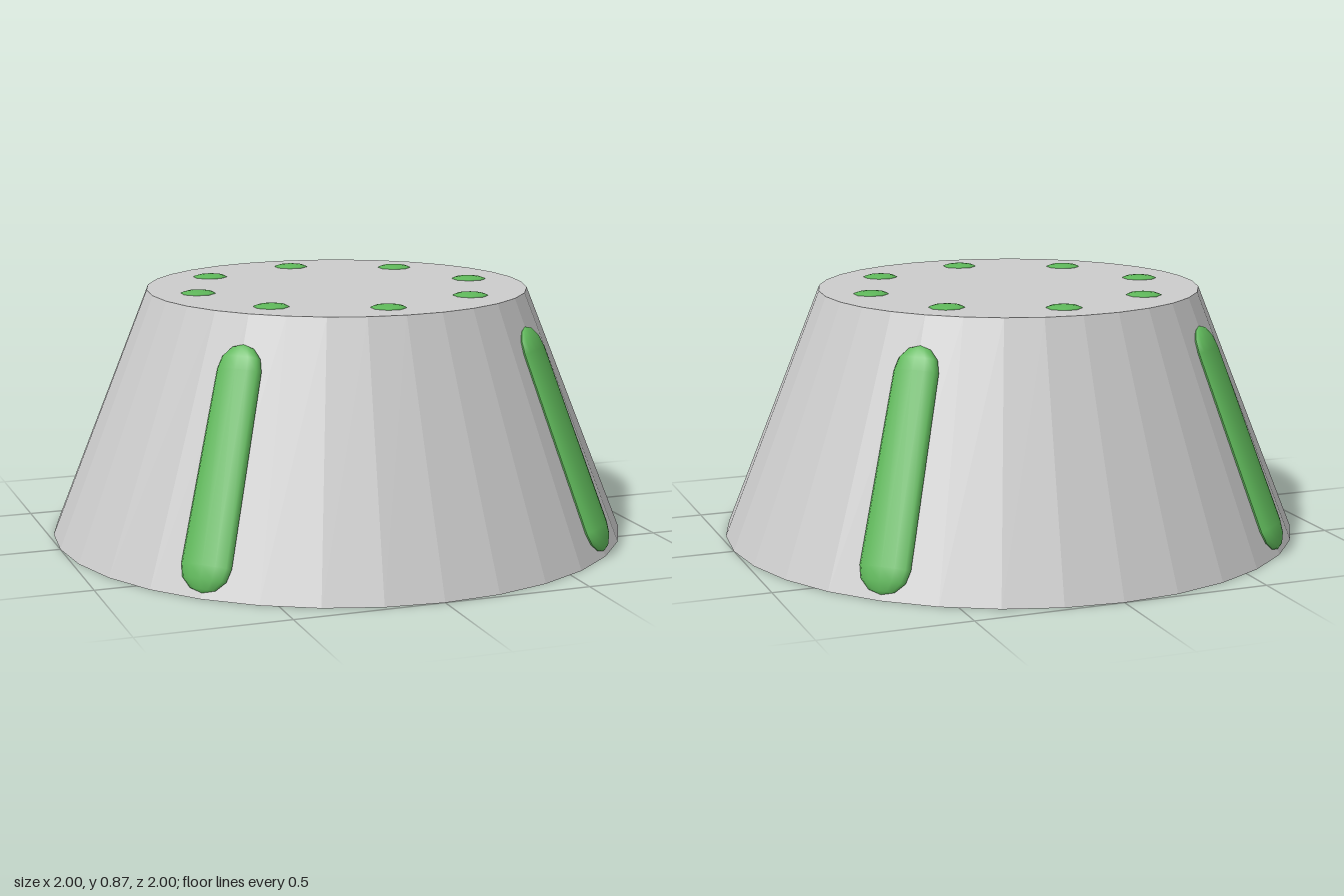
import * as THREE from 'three';

const HEIGHT = 0.855, BASE_R = 1, TOP_R = 0.66;
const SLOPE = Math.atan((BASE_R - TOP_R) / HEIGHT);

export function createModel() {
  const model = new THREE.Group();
  const grey = new THREE.MeshStandardMaterial({ color: 0xcccccc, flatShading: true });
  const green = new THREE.MeshStandardMaterial({ color: 0x5fb85a });

  // Faceted tapered body
  const body = new THREE.Mesh(new THREE.CylinderGeometry(TOP_R, BASE_R, HEIGHT, 32), grey);
  body.name = 'body';
  body.position.y = HEIGHT / 2;
  model.add(body);

  // Rounded strips lying on the slope, slightly wider toward the base
  const stripGeo = new THREE.CapsuleGeometry(0.085, 0.63, 3, 12);
  const p = stripGeo.attributes.position;
  for (let i = 0; i < p.count; i++) {
    p.setX(i, p.getX(i) * (1 - 0.2 * p.getY(i)));
  }
  stripGeo.scale(1, 1, 0.36);
  stripGeo.computeVertexNormals();
  const stripY = 0.39;
  for (let i = 0; i < 4; i++) {
    const arm = new THREE.Group();
    arm.name = 'sideStrip' + (i + 1);
    arm.rotation.y = Math.PI / 4 + (i * Math.PI) / 2;
    const strip = new THREE.Mesh(stripGeo, green);
    strip.name = 'strip';
    strip.position.set(0, stripY, BASE_R - stripY * Math.tan(SLOPE));
    strip.rotation.x = -SLOPE;
    arm.add(strip);
    model.add(arm);
  }

  // Ring of shallow eight-sided studs on the top
  const studGeo = new THREE.SphereGeometry(1, 8, 4, 0, Math.PI * 2, 0, Math.PI / 2);
  studGeo.rotateY(Math.PI / 8);
  studGeo.scale(0.06, 0.01, 0.06);
  for (let i = 0; i < 8; i++) {
    const a = (i * Math.PI) / 4;
    const stud = new THREE.Mesh(studGeo, green);
    stud.name = 'topStud' + (i + 1);
    stud.position.set(Math.sin(a) * 0.5, HEIGHT, Math.cos(a) * 0.5);
    model.add(stud);
  }
  return model;
}
